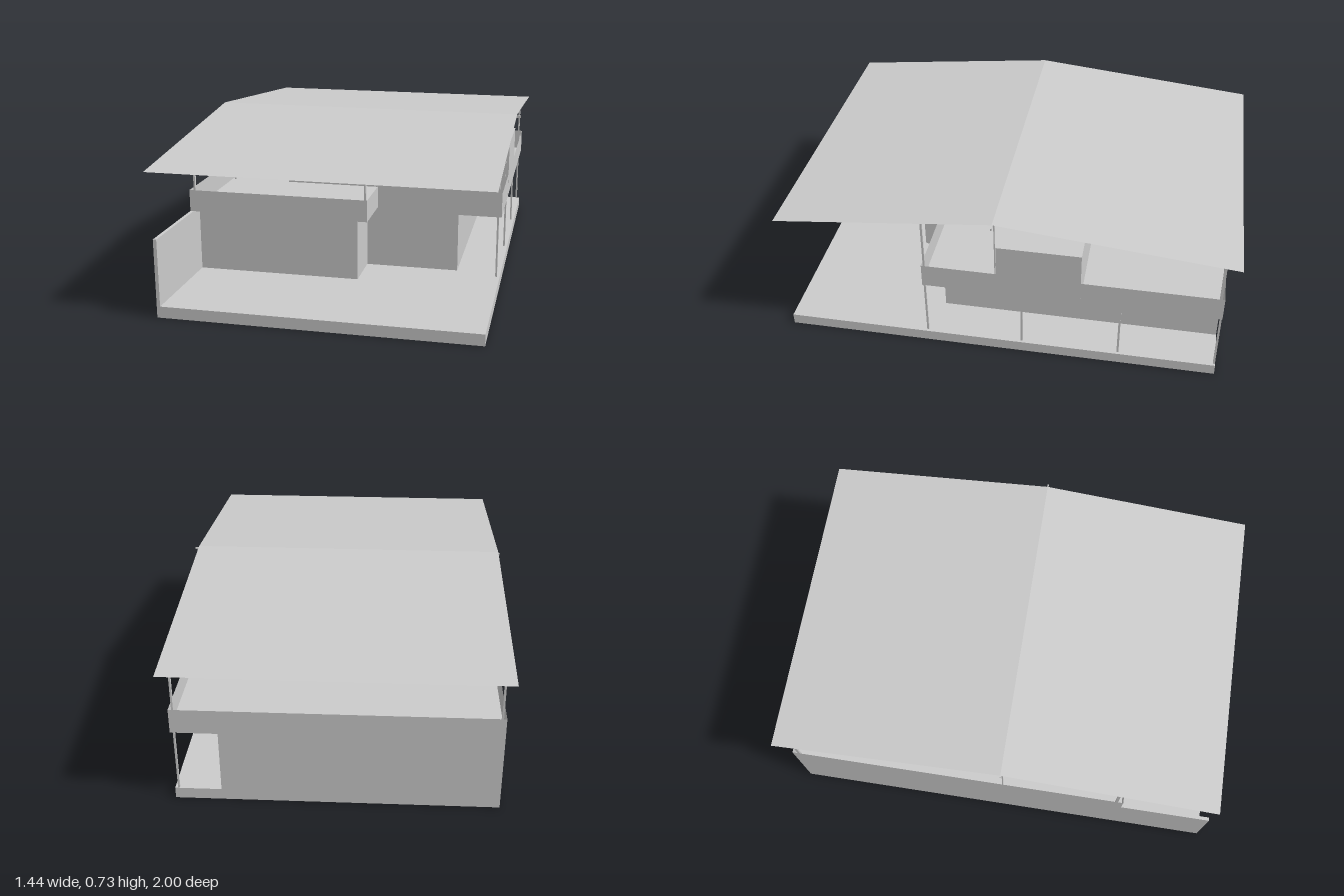
import * as THREE from 'three';

const grey = new THREE.MeshStandardMaterial({ color: 0xcccccc, flatShading: true });
const sheet = new THREE.MeshStandardMaterial({ color: 0xcccccc, flatShading: true, side: THREE.DoubleSide });

// Outer limits of the house and main levels
const LEFT = 0.675, RIGHT = -0.69, BACK = -0.948;
const FLOOR = 0.05, CEILING = 0.33, DECK = 0.343, RAIL = 0.44;
const PATIO_Z = 0.52, TERRACE_Z = 0.593, SIDE_Z = 0.362;
const ROOM_X = 0.478, STEP_X = 0.117;

// Roof plane: ridge and two eaves
const RIDGE_Z = 0.035, RIDGE_Y = 0.73, EAVE_Y = 0.626;
const roofHeight = (z) => RIDGE_Y - (RIDGE_Y - EAVE_Y) * (z - RIDGE_Z) / ((z > RIDGE_Z ? 1 : -1) - RIDGE_Z);

export function createModel() {
  const model = new THREE.Group();
  model.name = 'house';

  const add = (name, geometry, material = grey) => {
    const mesh = new THREE.Mesh(geometry, material);
    mesh.name = name;
    model.add(mesh);
    return mesh;
  };
  // Box given by its limits on each axis
  const box = (name, x0, x1, y0, y1, z0, z1) => {
    const mesh = add(name, new THREE.BoxGeometry(x1 - x0, y1 - y0, z1 - z0));
    mesh.position.set((x0 + x1) / 2, (y0 + y1) / 2, (z0 + z1) / 2);
  };
  const post = (name, x, z, y0, y1, d = 0.009) =>
    box(name, x - 0.004, x + 0.004, y0, y1, z - d / 2, z + d / 2);

  // Thin upright wall following a plan of [x, z] points
  const wall = (name, plan, y0, y1) => {
    const corners = [];
    for (let i = 0; i + 1 < plan.length; i++) {
      const [[ax, az], [bx, bz]] = [plan[i], plan[i + 1]];
      corners.push(ax, y0, az, bx, y0, bz, bx, y1, bz, ax, y0, az, bx, y1, bz, ax, y1, az);
    }
    const geometry = new THREE.BufferGeometry();
    geometry.setAttribute('position', new THREE.Float32BufferAttribute(corners, 3));
    geometry.computeVertexNormals();
    add(name, geometry, sheet);
  };
  // Thin level floor with a plan of [x, z] points
  const floor = (name, plan, y) => {
    const shape = new THREE.Shape(plan.map(([x, z]) => new THREE.Vector2(x, -z)));
    const mesh = add(name, new THREE.ShapeGeometry(shape).rotateX(-Math.PI / 2), sheet);
    mesh.position.y = y;
  };
  const rectangle = (x0, x1, z0, z1) => [[x0, z1], [x1, z1], [x1, z0], [x0, z0]];

  // Patio slab and the low wall beside it
  box('patioSlab', RIGHT, LEFT, 0, FLOOR, PATIO_Z, 1);
  box('patioWall', RIGHT, RIGHT + 0.015, FLOOR, DECK, PATIO_Z, 1);

  // House floor with its skirting, open underneath
  floor('houseFloor', rectangle(RIGHT, LEFT, BACK, PATIO_Z), FLOOR);
  wall('floorEdge', [[LEFT, PATIO_Z], [LEFT, BACK], [RIGHT, BACK], [RIGHT, PATIO_Z]], 0, FLOOR);

  // Ground floor walls
  wall('roomWalls', [[RIGHT, PATIO_Z], [0.058, PATIO_Z], [0.058, 0.315], [ROOM_X, 0.315],
    [ROOM_X, BACK], [RIGHT, BACK], [RIGHT, PATIO_Z]], FLOOR, DECK);

  // L-shaped terrace and its parapet
  const terrace = [[RIGHT, TERRACE_Z], [STEP_X, TERRACE_Z], [STEP_X, SIDE_Z], [LEFT, SIDE_Z], [LEFT, BACK], [RIGHT, BACK]];
  floor('terraceFloor', terrace, DECK);
  wall('parapet', [...terrace, terrace[0]], DECK, RAIL);

  // Deeper ceiling over the side porch
  floor('porchCeiling', rectangle(ROOM_X, LEFT, BACK, SIDE_Z), CEILING);
  wall('porchCeilingEdge', [[ROOM_X, 0.315], [ROOM_X, SIDE_Z], [LEFT, SIDE_Z], [LEFT, BACK], [ROOM_X, BACK]], CEILING, DECK);

  // Rooftop room
  box('rooftopRoom', -0.4, LEFT + 0.0005, DECK, 0.586, -0.34, 0.028);

  // Porch posts along the open side
  for (const z of [0.355, -0.08, -0.515, -0.942]) post('porchPost', 0.659, z, FLOOR, CEILING);

  // Roof posts, each reaching up to the roof
  for (const [x, z, d] of [[-0.674, 0.567, 0.012], [0.103, 0.567, 0.012], [0.659, 0.352, 0.009], [-0.674, RIDGE_Z, 0.005],
    [0.659, RIDGE_Z, 0.005], [-0.674, -0.932, 0.012], [0.659, -0.932, 0.012]]) {
    post('roofPost', x, z, DECK, Math.min(0.718, roofHeight(z) - 0.004), d);
  }

  // Ridge beam, showing just past the gables
  box('ridgeBeam', -0.722, 0.722, 0.714, 0.724, RIDGE_Z - 0.003, RIDGE_Z + 0.003);

  // Thin roof sheet, folded at the ridge
  const roof = new THREE.PlaneGeometry(1.42, 2, 1, 2).rotateX(-Math.PI / 2);
  const p = roof.attributes.position;
  for (let i = 0; i < p.count; i++) {
    const z = Math.abs(p.getZ(i)) < 0.5 ? RIDGE_Z : p.getZ(i);
    p.setXYZ(i, p.getX(i) - 0.005, roofHeight(z), z);
  }
  roof.computeVertexNormals();
  add('roof', roof, sheet);

  return model;
}
